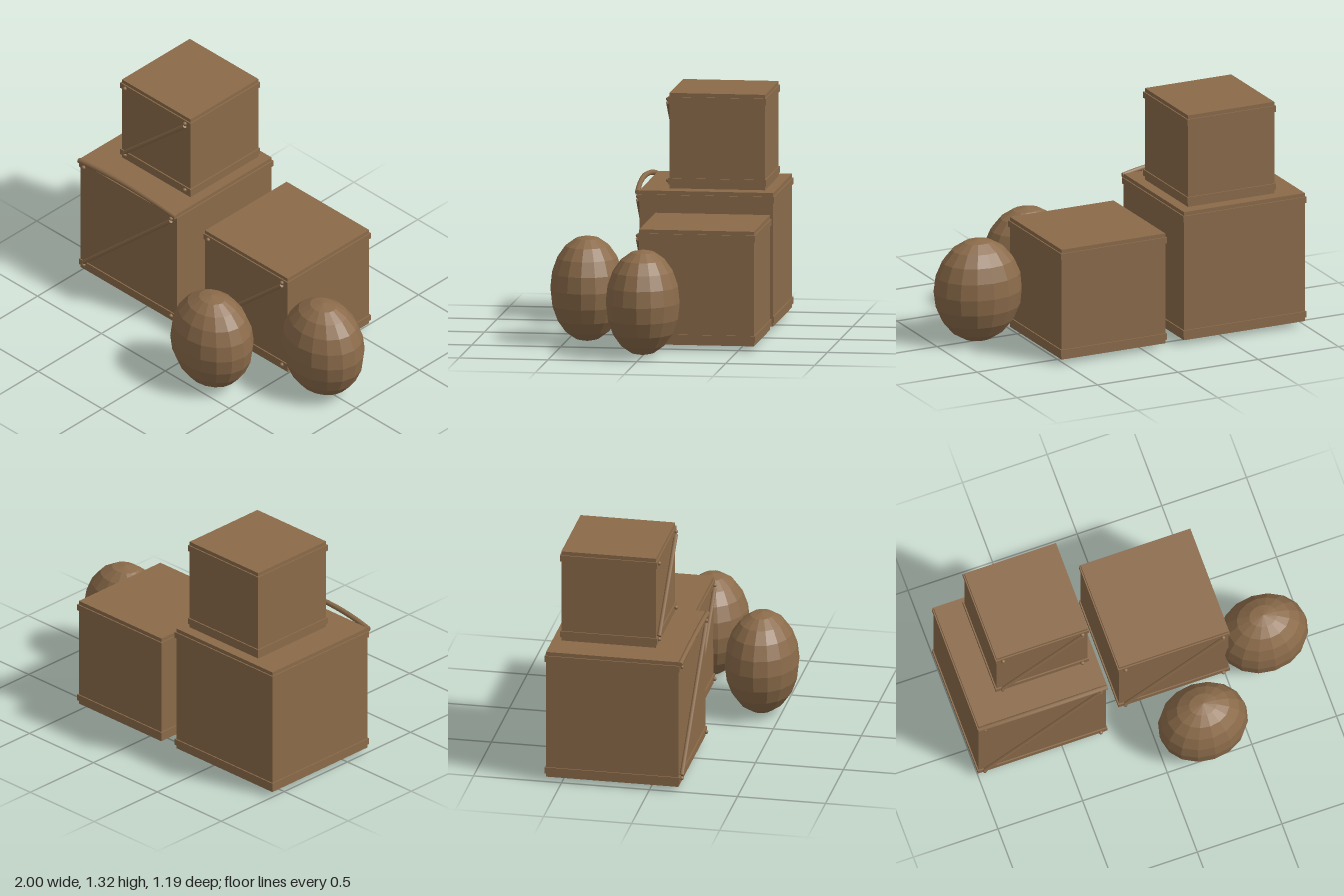
import * as THREE from 'three';

const wood = new THREE.MeshStandardMaterial({ color: 0x8b6b4a });
wood.name = 'brownWood';

function add(parent, name, geometry, x = 0, y = 0, z = 0) {
  const mesh = new THREE.Mesh(geometry, wood);
  mesh.name = name;
  mesh.position.set(x, y, z);
  parent.add(mesh);
  return mesh;
}

// Cubic crate: body, two wrapping bands, corner bolts and a diagonal brace
function makeCrate(name, size, x, y, z) {
  const crate = new THREE.Group();
  crate.name = name;
  crate.position.set(x, y, z);
  const half = size / 2;
  const bandY = half - 0.04;
  const front = half + 0.012;
  const boltX = half - 0.034;
  add(crate, 'body', new THREE.BoxGeometry(size, size, size), 0, half, 0);
  for (const sy of [-1, 1]) {
    add(crate, 'band', new THREE.BoxGeometry(size + 0.014, 0.036, size + 0.014), 0, half + sy * bandY, 0);
    for (const sx of [-1, 1]) {
      add(crate, 'bolt', new THREE.SphereGeometry(0.012, 10, 8), sx * boltX, half + sy * bandY, front);
    }
  }
  const dx = 2 * boltX;
  const dy = size - 0.115;
  const brace = add(crate, 'diagonalBrace',
    new THREE.CylinderGeometry(0.012, 0.012, Math.hypot(dx, dy), 8), 0, half, front);
  brace.rotation.z = -Math.atan2(dx, dy);
  return crate;
}

// Faceted oval sack standing on the ground
function makeSack(name, x, z) {
  const geometry = new THREE.SphereGeometry(1, 16, 10);
  geometry.scale(0.257, 0.297, 0.208);
  // Split the corners so that each facet stays flat
  const flat = geometry.toNonIndexed();
  flat.computeVertexNormals();
  const sack = new THREE.Mesh(flat, wood);
  sack.name = name;
  sack.position.set(x, 0.297, z);
  return sack;
}

export function createModel() {
  const model = new THREE.Group();
  model.name = 'cratesAndSacks';

  model.add(
    makeCrate('largeCrate', 0.752, -0.619, 0.028, -0.213),
    makeCrate('mediumCrate', 0.645, 0.196, 0.028, -0.267),
    makeCrate('smallCrate', 0.537, -0.563, 0.787, -0.267),
    makeSack('frontSack', 0.252, 0.385),
    makeSack('sideSack', 0.743, 0.003)
  );

  // Bowed rope along the front top edge of the large crate
  const path = new THREE.QuadraticBezierCurve3(
    new THREE.Vector3(-0.997, 0.768, 0.173),
    new THREE.Vector3(-0.619, 0.845, 0.203),
    new THREE.Vector3(-0.241, 0.768, 0.173)
  );
  add(model, 'rope', new THREE.TubeGeometry(path, 20, 0.015, 8));
  // Caps closing the rope ends
  for (const t of [0, 1]) {
    const end = path.getPoint(t);
    const cap = add(model, 'ropeEnd', new THREE.CircleGeometry(0.015, 8), end.x, end.y, end.z);
    cap.rotation.y = t ? Math.PI / 2 : -Math.PI / 2;
  }

  return model;
}
